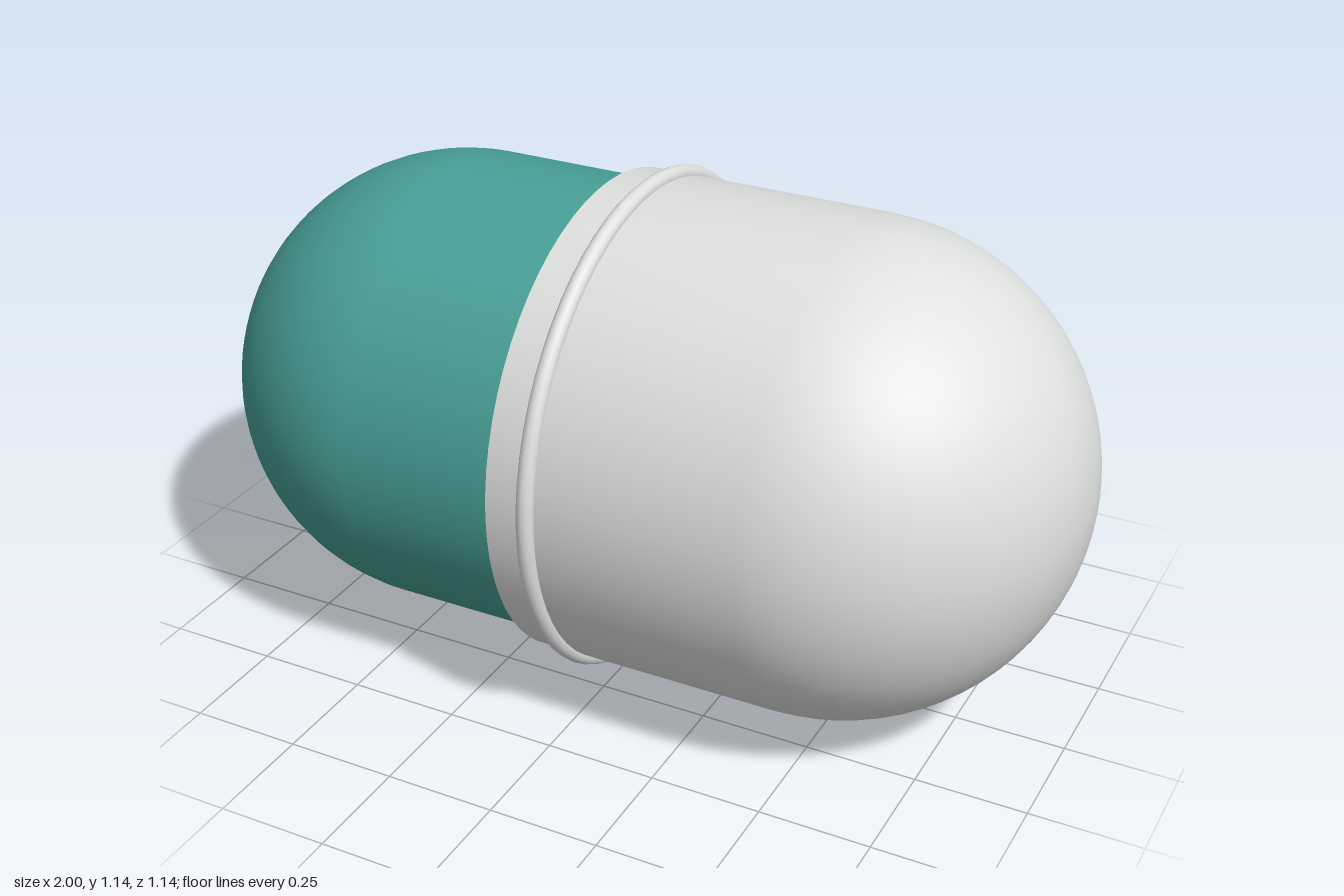
import * as THREE from 'three';

const CENTRE_Y = 0.569;
const SEGMENTS = 64;

// Quarter-circle profile from the cylinder edge (0) to the pole (90 degrees)
function domeProfile(radius, centre, direction, steps = 20) {
  const points = [];
  for (let i = 0; i <= steps; i++) {
    const a = (i / steps) * Math.PI / 2;
    const r = i === steps ? 0 : radius * Math.cos(a);
    points.push(new THREE.Vector2(r, centre + direction * radius * Math.sin(a)));
  }
  return points;
}

// Revolves a profile and lays its axis along x
function lathePart(name, points, material) {
  const geometry = new THREE.LatheGeometry(points, SEGMENTS);
  geometry.rotateZ(-Math.PI / 2);
  const mesh = new THREE.Mesh(geometry, material);
  mesh.name = name;
  return mesh;
}

export function createModel() {
  const teal = new THREE.MeshStandardMaterial({ color: 0x48a097, side: THREE.DoubleSide });
  teal.name = 'teal';
  const white = new THREE.MeshStandardMaterial({ color: 0xdfe1df, side: THREE.DoubleSide });
  white.name = 'offWhite';

  const capsule = new THREE.Group();
  capsule.name = 'capsule';

  // Narrower body half, tucked inside the cap
  const body = domeProfile(0.521, -0.479, -1).reverse();
  body.push(new THREE.Vector2(0.521, 0.05));
  capsule.add(lathePart('capsuleBody', body, teal));

  // Wider cap half with a softened rim
  const cap = [
    new THREE.Vector2(0.515, -0.11),
    new THREE.Vector2(0.547, -0.11),
    ...domeProfile(0.547, 0.453, 1),
  ];
  capsule.add(lathePart('capsuleCap', cap, white));

  // Raised locking ring around the cap
  const ringGeometry = new THREE.TorusGeometry(0.55, 0.019, 12, SEGMENTS);
  ringGeometry.rotateY(Math.PI / 2);
  const ring = new THREE.Mesh(ringGeometry, white);
  ring.name = 'lockingRing';
  ring.position.x = -0.014;
  capsule.add(ring);

  capsule.position.y = CENTRE_Y;
  const model = new THREE.Group();
  model.name = 'twoPartCapsule';
  model.add(capsule);
  return model;
}
